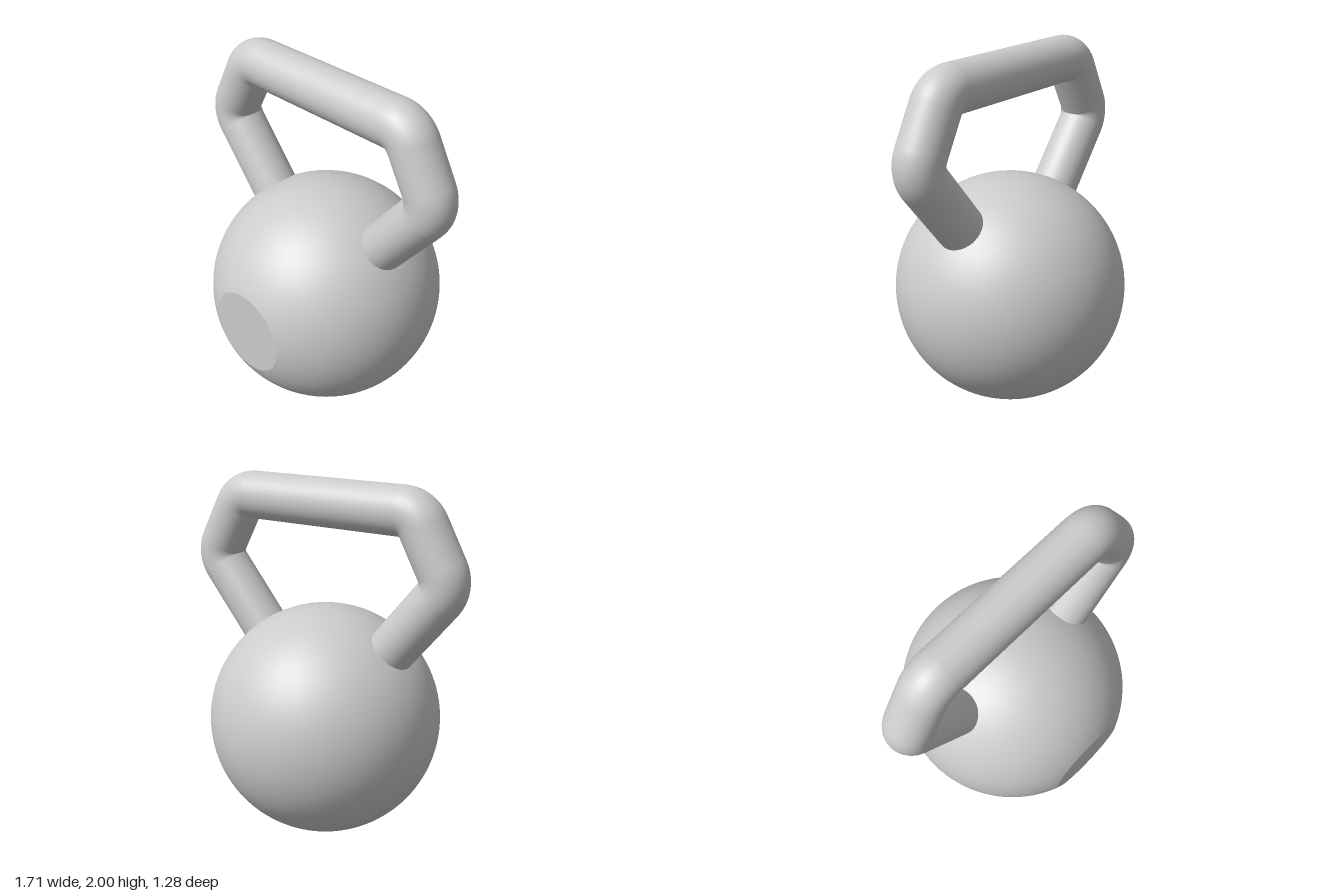
import * as THREE from 'three';

const RADIUS = 0.663;       // ball
const CENTRE_Y = 0.623;     // height of the ball centre = distance to the base flat
const CENTRE_Z = 0.008;
const FRONT_FLAT = 0.617;   // distance from ball centre to the front flat
const GRIP = 0.133;         // handle bar radius

// Smooth surface grid; fn(i, j) returns { p, n } for row i and column j
function gridSurface(rows, cols, fn) {
  const pos = [], nor = [], idx = [];
  for (let i = 0; i <= rows; i++) {
    for (let j = 0; j <= cols; j++) {
      const { p, n } = fn(i, j);
      pos.push(p.x, p.y, p.z);
      nor.push(n.x, n.y, n.z);
      if (i < rows && j < cols) {
        const a = i * (cols + 1) + j, b = a + cols + 1;
        idx.push(a, b, b + 1, a, b + 1, a + 1);
      }
    }
  }
  const g = new THREE.BufferGeometry();
  g.setAttribute('position', new THREE.Float32BufferAttribute(pos, 3));
  g.setAttribute('normal', new THREE.Float32BufferAttribute(nor, 3));
  g.setIndex(idx);
  return g;
}

// Half of the ball around a +z flat, running out to the plane y + z = 0
function halfBall(flat) {
  const start = Math.acos(flat / RADIUS), cols = 96, rows = 32;
  return gridSurface(rows, cols, (i, j) => {
    const phi = (j / cols) * Math.PI * 2;
    const end = Math.atan2(1, -Math.sin(phi));
    const theta = start + (end - start) * (i / rows);
    const n = new THREE.Vector3(
      Math.sin(theta) * Math.cos(phi), Math.sin(theta) * Math.sin(phi), Math.cos(theta));
    return { p: n.clone().multiplyScalar(RADIUS), n };
  });
}

// Bar swept through four tight bends, each turning about its inner corner
function handleGeometry() {
  const upper = [0.475, 2 - 2 * GRIP], side = [0.59, 1.52];
  const slant = Math.atan2(side[0] - upper[0], upper[1] - side[1]);
  const leg = -0.682, legLength = 0.6, steps = 12;
  const rings = [];
  const addRing = ([px, py], angle, back = 0) => rings.push({
    x: px + GRIP * Math.cos(angle) + back * Math.sin(angle),
    y: py + GRIP * Math.sin(angle) - back * Math.cos(angle),
    angle,
  });
  const addBend = (pivot, from, to) => {
    for (let k = 0; k <= steps; k++) addRing(pivot, from + (to - from) * (k / steps));
  };
  addRing(side, leg, legLength);
  addBend(side, leg, slant);
  addBend(upper, slant, Math.PI / 2);
  // Mirror for the other side
  for (const r of [...rings].reverse()) rings.push({ x: -r.x, y: r.y, angle: Math.PI - r.angle });

  const cols = 40;
  return gridSurface(rings.length - 1, cols, (i, j) => {
    const { x, y, angle } = rings[i], t = (j / cols) * Math.PI * 2;
    const n = new THREE.Vector3(
      Math.cos(t) * Math.cos(angle), Math.cos(t) * Math.sin(angle), Math.sin(t));
    return { p: n.clone().multiplyScalar(GRIP).add(new THREE.Vector3(x, y, 0)), n };
  });
}

export function createModel() {
  const model = new THREE.Group();
  model.name = 'kettlebell';
  const material = new THREE.MeshStandardMaterial({ color: 0xcccccc });

  const add = (parent, name, geometry) => {
    const mesh = new THREE.Mesh(geometry, material);
    mesh.name = name;
    parent.add(mesh);
    return mesh;
  };

  // Ball: two halves, each with its own flat
  const ball = new THREE.Group();
  ball.name = 'ball';
  ball.position.set(0, CENTRE_Y, CENTRE_Z);
  model.add(ball);

  const addHalf = (name, flat) => {
    const half = new THREE.Group();
    half.name = name + 'Half';
    add(half, name + 'Shell', halfBall(flat));
    const disc = new THREE.CircleGeometry(Math.sqrt(RADIUS ** 2 - flat ** 2), 96);
    add(half, name + 'Flat', disc).position.z = flat;
    ball.add(half);
    return half;
  };
  addHalf('front', FRONT_FLAT);
  // The base half is the front half turned so that +z points down
  addHalf('base', CENTRE_Y).quaternion.setFromAxisAngle(
    new THREE.Vector3(0, 1, -1).normalize(), Math.PI);

  // Handle
  add(model, 'handle', handleGeometry()).position.z = CENTRE_Z;

  return model;
}
